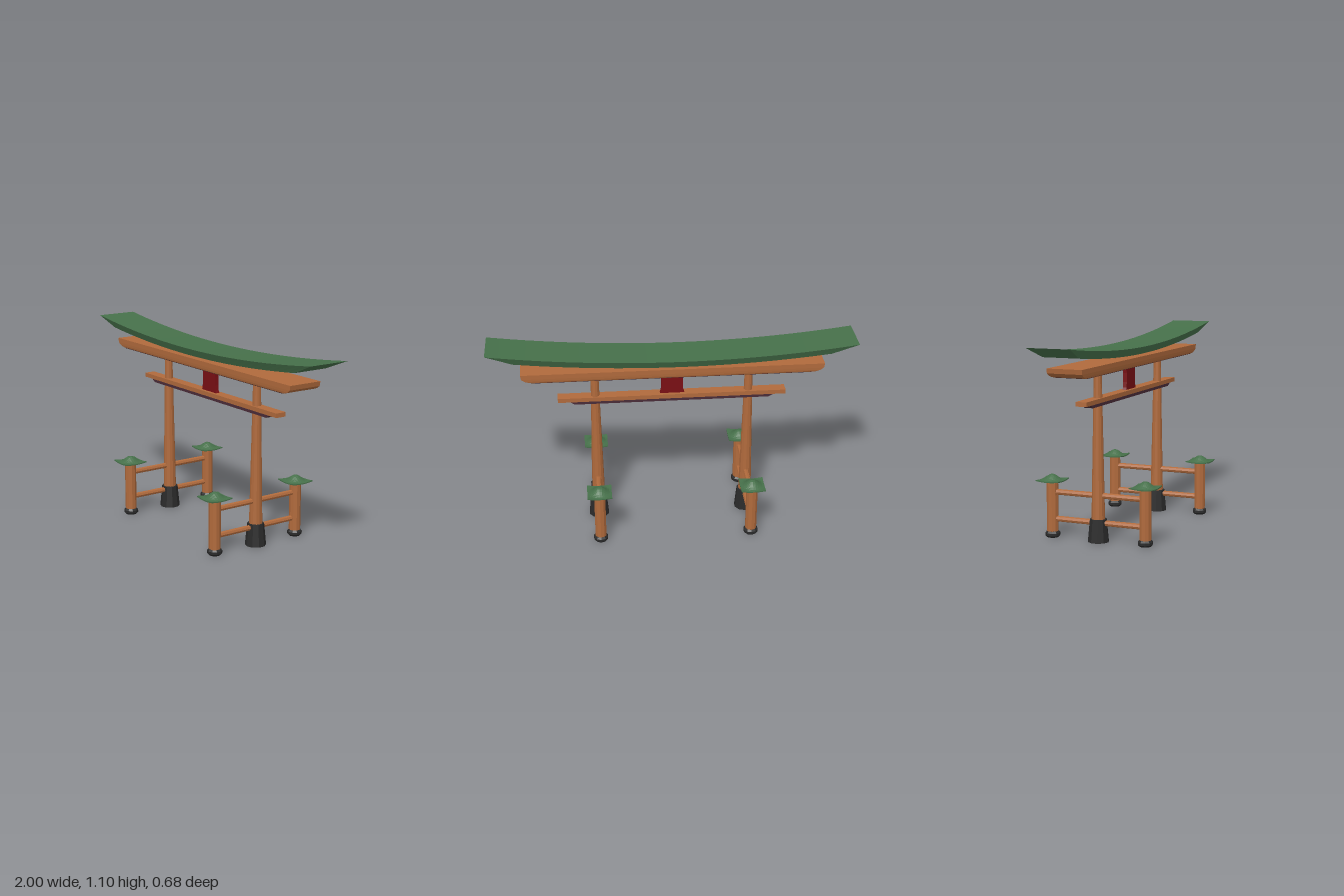
import * as THREE from 'three';

const mat = (color) => new THREE.MeshStandardMaterial({ color, flatShading: true });

export function createModel() {
  const model = new THREE.Group();
  const wood = mat(0xb06a3c), green = mat(0x46704a), black = mat(0x2a2a2a);
  const red = mat(0x7a0f14), plum = mat(0x4a2c38);

  const add = (name, geometry, material, x = 0, y = 0, z = 0, parent = model) => {
    const mesh = new THREE.Mesh(geometry, material);
    mesh.name = name;
    mesh.position.set(x, y, z);
    parent.add(mesh);
    return mesh;
  };

  // Move every vertex of a geometry by a rule
  const reshape = (geometry, rule) => {
    const p = geometry.attributes.position;
    for (let i = 0; i < p.count; i++) p.setXYZ(i, ...rule(p.getX(i), p.getY(i), p.getZ(i)));
    geometry.computeVertexNormals();
    return geometry;
  };

  // Rectangles stacked from bottom to top: [y, half width, half depth]
  const stack = (levels) => {
    const n = levels.length - 1;
    return reshape(new THREE.BoxGeometry(2, 1, 2, 1, n, 1), (x, y, z) => {
      const [h, w, d] = levels[Math.round((y + 0.5) * n)];
      return [x * w, h, z * d];
    });
  };

  // Curved roof: narrower underneath, ends swept up
  add('roof', reshape(new THREE.BoxGeometry(2, 1, 2, 28, 1, 1), (x, y, z) => {
    const top = y > 0;
    const px = top ? x : x * 0.855;
    const py = (top ? 1.021 : 0.981) + 0.067 * px * px + 0.007 * px;
    return [px, py, z * (top ? 0.118 : 0.1)];
  }), green);

  // Upper beam with rounded lower ends and a dark underside
  add('upperBeam', stack([
    [0.914, 0.755, 0.09], [0.918, 0.775, 0.094], [0.927, 0.8, 0.096],
    [0.94, 0.817, 0.097], [0.965, 0.822, 0.097],
  ]), wood);
  add('upperBeamUnderside', stack([[0.912, 0.75, 0.089], [0.9145, 0.755, 0.09]]), plum);
  for (const x of [-0.2, 0.2]) {
    add('roofStrut', new THREE.BoxGeometry(0.016, 0.04, 0.018), wood, x, 0.978, 0);
  }

  // Lower beam and the dark batten below it
  add('lowerBeam', stack([[0.753, 0.628, 0.031], [0.777, 0.628, 0.031]]), wood, 0.002);
  add('lowerBeamBatten', stack([[0.735, 0.535, 0.025], [0.753, 0.565, 0.025]]), plum, 0.002);

  // Central plaque with waisted sides
  add('plaque', stack([
    [0.775, 0.068, 0.011], [0.79, 0.062, 0.011], [0.82, 0.059, 0.011], [0.87, 0.059, 0.011],
    [0.9, 0.062, 0.011], [0.916, 0.068, 0.011],
  ]), red, 0.002);

  // Square cap: central dome, flared rim, lifted corners
  const capGeometry = reshape(new THREE.BoxGeometry(2, 1, 2, 10, 1, 10), (x, y, z) => {
    const r = Math.min(1, Math.hypot(x, z));
    const dome = 0.034 * (0.5 + 0.5 * Math.cos(Math.PI * r));
    const lift = 0.006 * (x * z) ** 2;
    const py = y > 0 ? 0.315 + dome + lift : 0.309 + 0.7 * dome + lift;
    return [x * 0.067, py, z * 0.067];
  });
  const footProfile = [[0, 0], [0.032, 0], [0.041, 0.01], [0.041, 0.024], [0.033, 0.034], [0, 0.034]];
  const footGeometry = new THREE.LatheGeometry(footProfile.map(([x, y]) => new THREE.Vector2(x, y)), 10);
  const postGeometry = new THREE.CylinderGeometry(0.032, 0.032, 0.285, 10);
  const railGeometry = new THREE.CylinderGeometry(0.016, 0.016, 0.544, 8).rotateX(Math.PI / 2);

  // Each side: main pillar, two outer posts and the rails joining them
  for (const [side, x] of [['right', -0.42], ['left', 0.425]]) {
    const frame = new THREE.Group();
    frame.name = side + 'Frame';
    frame.position.x = x;
    model.add(frame);
    add('pillar', new THREE.CylinderGeometry(0.021, 0.037, 0.82, 12), wood, 0, 0.51, 0, frame);
    add('pillarBase', new THREE.CylinderGeometry(0.046, 0.058, 0.124, 10), black, 0, 0.062, 0, frame);
    for (const y of [0.103, 0.251]) add('rail', railGeometry, wood, 0, y, 0, frame);
    for (const z of [-0.272, 0.272]) {
      add('post', postGeometry, wood, 0, 0.17, z, frame);
      add('postFoot', footGeometry, black, 0, 0, z, frame);
      add('postCap', capGeometry, green, 0, 0, z, frame);
    }
  }
  return model;
}
